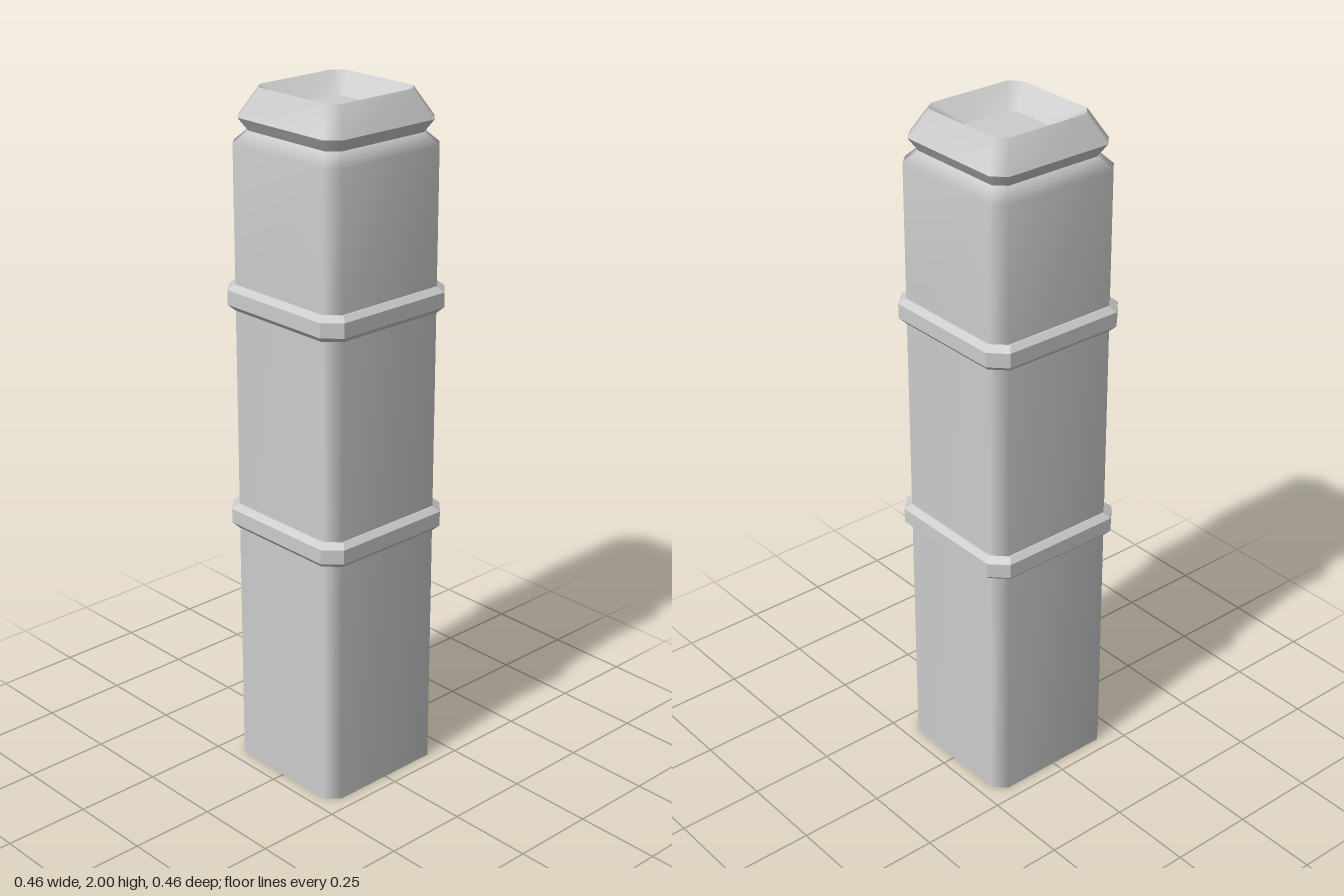
import * as THREE from 'three';

const material = new THREE.MeshStandardMaterial({ color: 0xcccccc, side: THREE.DoubleSide });
const flatMaterial = new THREE.MeshStandardMaterial({
  color: 0xcccccc, side: THREE.DoubleSide, flatShading: true,
});

// Corners of a square with cut corners: h = half width, c = size of the cut
function ring(h, c) {
  const k = h - c;
  return [[h, -k], [h, k], [k, h], [-k, h], [-h, k], [-h, -k], [-k, -h], [k, -h]];
}

// Skin stacked rings given as [half width, corner cut, y]
function loft(name, rows, mat = material) {
  const positions = [], index = [];
  rows.forEach(([h, c, y], r) => {
    ring(h, c).forEach(([x, z]) => positions.push(x, y, z));
    if (r === 0) return;
    for (let i = 0; i < 8; i++) {
      const j = (i + 1) % 8, lo = (r - 1) * 8, hi = r * 8;
      index.push(lo + i, hi + i, lo + j, hi + i, hi + j, lo + j);
    }
  });
  const geometry = new THREE.BufferGeometry();
  geometry.setAttribute('position', new THREE.Float32BufferAttribute(positions, 3));
  geometry.setIndex(index);
  geometry.computeVertexNormals();
  const mesh = new THREE.Mesh(geometry, mat);
  mesh.name = name;
  return mesh;
}

export function createModel() {
  const post = new THREE.Group();
  post.name = 'post';

  // Open-bottomed shaft with a softly shaded shoulder
  post.add(loft('shaft', [
    [0.21, 0.035, 0], [0.21, 0.035, 1.43], [0.21, 0.035, 1.85], [0.178, 0.03, 1.885],
  ]));

  // Cap: groove flare, sloping bevel and sunken top
  const cap = new THREE.Group();
  cap.name = 'cap';
  cap.add(
    loft('capFlare', [[0.178, 0.03, 1.885], [0.2, 0.035, 1.92]]),
    loft('capBevel', [[0.2, 0.035, 1.92], [0.157, 0.03, 2]]),
    loft('recessWall', [[0.157, 0.03, 2], [0.086, 0.017, 1.95]]),
  );
  const floorShape = new THREE.Shape(ring(0.086, 0.017).map(([x, z]) => new THREE.Vector2(x, z)));
  const floor = new THREE.Mesh(new THREE.ShapeGeometry(floorShape), material);
  floor.name = 'recessFloor';
  floor.rotation.x = -Math.PI / 2;
  floor.position.y = 1.95;
  cap.add(floor);
  post.add(cap);

  // Two bevelled collars around the shaft
  for (const [name, y] of [['lowerCollar', 0.74], ['upperCollar', 1.39]]) {
    const collar = loft(name, [
      [0.205, 0.035, 0], [0.215, 0.042, 0], [0.23, 0.045, 0.016],
      [0.23, 0.045, 0.058], [0.214, 0.042, 0.073], [0.205, 0.035, 0.073],
    ], flatMaterial);
    collar.position.y = y;
    post.add(collar);
  }
  return post;
}
